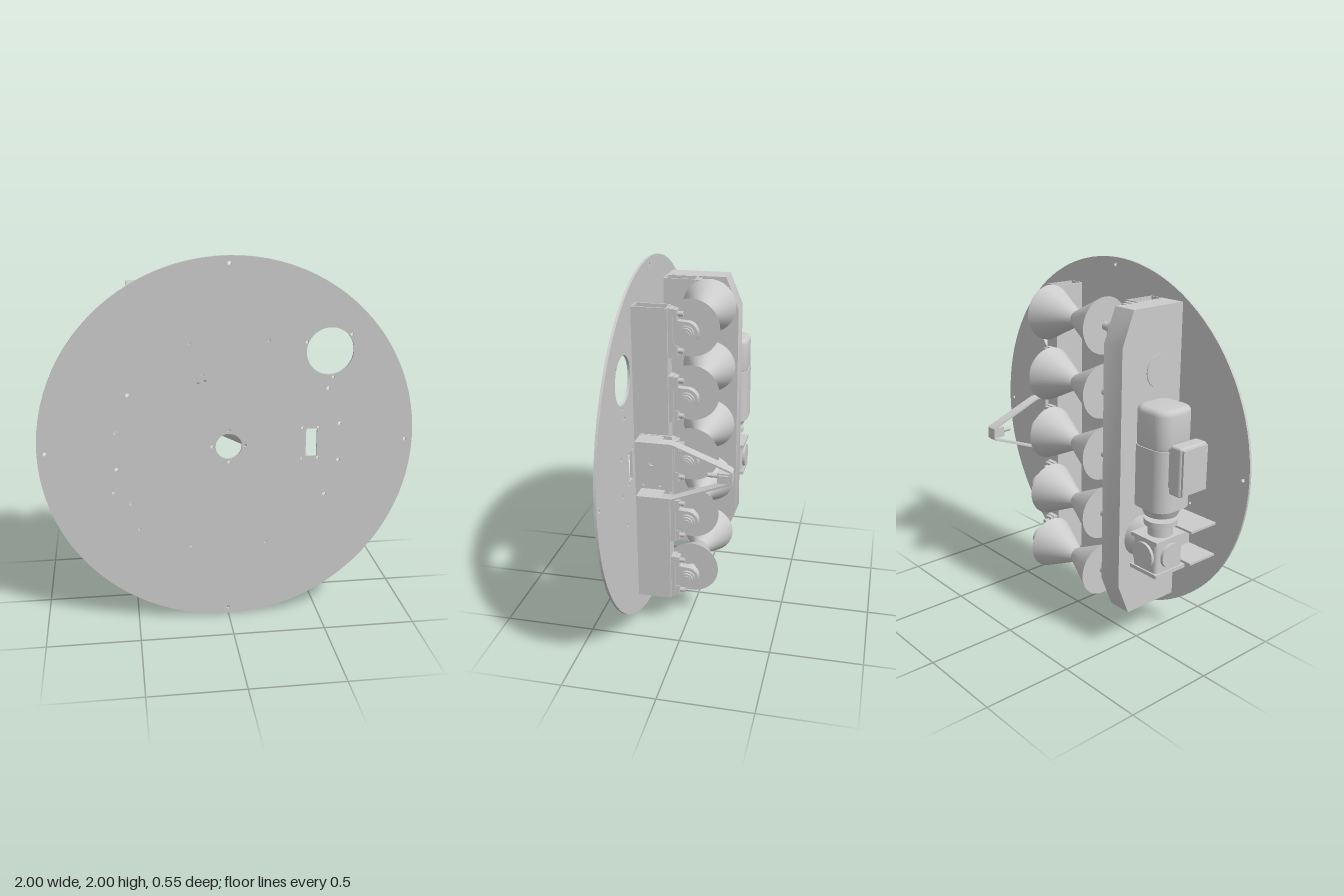
import * as THREE from 'three';
import { RoundedBoxGeometry } from 'three/addons/geometries/RoundedBoxGeometry.js';
import { toCreasedNormals } from 'three/addons/utils/BufferGeometryUtils.js';

const grey = new THREE.MeshStandardMaterial({ color: 0xcccccc, side: THREE.DoubleSide });

export function createModel() {
  const root = new THREE.Group();

  const add = (name, geo, x = 0, y = 0, z = 0, parent = root) => {
    const m = new THREE.Mesh(geo, grey);
    m.name = name;
    m.position.set(x, y, z);
    parent.add(m);
    return m;
  };
  // Box given by its limits on each axis
  const box = (name, x0, x1, y0, y1, z0, z1, parent) =>
    add(name, new THREE.BoxGeometry(x1 - x0, y1 - y0, z1 - z0),
      (x0 + x1) / 2, (y0 + y1) / 2, (z0 + z1) / 2, parent);
  // Cylinder along a chosen axis
  const cyl = (name, axis, r0, r1, len, x, y, z, parent, seg = 32) => {
    const g = new THREE.CylinderGeometry(r1, r0, len, seg);
    if (axis === 'x') g.rotateZ(-Math.PI / 2);
    if (axis === 'z') g.rotateX(Math.PI / 2);
    return add(name, g, x, y, z, parent);
  };
  const poly = pts => new THREE.Shape(pts.map(p => new THREE.Vector2(p[0], p[1])));
  const extrude = (shape, depth) => toCreasedNormals(
    new THREE.ExtrudeGeometry(shape, { depth, bevelEnabled: false, curveSegments: 16 }), 0.6);
  // Profile drawn in (z, y), extruded from x0 to x1
  const side = (name, shape, x0, x1, y = 0, z = 0, parent) =>
    add(name, extrude(shape, x1 - x0).rotateY(-Math.PI / 2), x1, y, z, parent);

  // Round mounting plate with its openings and bolt holes
  const disc = new THREE.Shape().absarc(0, 1, 1, 0, Math.PI * 2);
  const hole = (x, y, r) => disc.holes.push(new THREE.Path().absarc(x, y, r, 0, Math.PI * 2, true));
  hole(0, 1, 0.07);
  hole(0.53, 1.5, 0.125);
  disc.holes.push(new THREE.Path([[0.415, 0.925], [0.415, 1.08], [0.475, 1.08], [0.475, 0.925]]
    .map(p => new THREE.Vector2(...p))));
  for (const s of [-1, 1]) {
    hole(0, 1 + s * 0.962, 0.01);
    hole(s * 0.96, 1, 0.01);
    hole(s * 0.09, 1, 0.008);
    hole(0, 1 + s * 0.09, 0.008);
    for (const t of [-1, 1]) {
      hole(s * 0.205, 1 + t * 0.567, 0.01);
      hole(s * 0.525, 1 + t * 0.3, 0.01);
      hole(s * 0.595, 1 + t * 0.103, 0.01);
      hole(0.438 + s * 0.043, 1 + t * 0.086, 0.008);
    }
  }
  [[0.405, 1.55], [0.64, 1.585], [0.55, 1.36], [-0.175, 1.38], [-0.14, 1.396],
    [-0.16, 1.35], [-0.125, 1.362], [-0.615, 0.765], [-0.485, 0.55]].forEach(p => hole(p[0], p[1], 0.008));
  add('mountingPlate', new THREE.ExtrudeGeometry(disc,
    { depth: 0.013, bevelEnabled: false, curveSegments: 48 }), 0, 0, 0.264);

  // Two hollow upright beams carrying the bearings
  for (const [x0, x1] of [[-0.37, -0.282], [0.278, 0.366]]) {
    const tube = poly([[x0, -0.264], [x1, -0.264], [x1, -0.08], [x0, -0.08]]);
    const t = 0.008;
    tube.holes.push(new THREE.Path([[x0 + t, -0.264 + t], [x0 + t, -0.08 - t], [x1 - t, -0.08 - t], [x1 - t, -0.264 + t]]
      .map(p => new THREE.Vector2(...p))));
    add('uprightBeam', extrude(tube, 1.65).rotateX(-Math.PI / 2), 0, 0.18, 0);
  }

  // Angle-section cross members between the beams
  for (const s of [-1, 1]) {
    const y = 1 + s * 0.567;
    box('crossMember', -0.282, 0.278, y - 0.05, y + 0.05, 0.254, 0.264);
    box('crossMemberWeb', -0.282, 0.278, y + 0.04, y + 0.05, 0.165, 0.264);
  }

  // Bearing block: flanged foot, round-topped housing, insert ring and bolts
  const housing = new THREE.Shape();
  housing.moveTo(0.06, -0.065);
  housing.lineTo(0.06, 0.065);
  housing.lineTo(0, 0.06);
  housing.absarc(-0.01, 0, 0.06, Math.PI / 2, Math.PI * 1.5, false);
  housing.lineTo(0.06, -0.065);
  const bearing = (x, y) => {
    const g = new THREE.Group();
    g.name = 'bearingBlock';
    g.position.set(x, y, 0);
    root.add(g);
    side('bearingHousing', housing, -0.02, 0.02, 0, 0, g);
    box('bearingFoot', -0.03, 0.03, -0.125, 0.125, 0.055, 0.08, g);
    cyl('bearingRing', 'x', 0.042, 0.042, 0.066, 0, 0, -0.01, g);
    cyl('shaftCollar', 'x', 0.034, 0.034, 0.09, 0, 0, -0.01, g, 24);
    for (const s of [-1, 1]) {
      box('bearingLug', -0.025, 0.025, s * 0.09 - 0.03, s * 0.09 + 0.03, 0.035, 0.056, g);
      cyl('bearingBolt', 'z', 0.014, 0.014, 0.03, 0, s * 0.095, 0.022, g, 6);
    }
  };

  // Five hourglass rollers on their shafts
  for (let i = 0; i < 5; i++) {
    const y = 0.31 + i * 0.3475;
    cyl('rollerHalfRight', 'x', 0.15, 0.043, 0.228, -0.114, y, -0.01, root, 40);
    cyl('rollerHalfLeft', 'x', 0.043, 0.15, 0.228, 0.114, y, -0.01, root, 40);
    cyl('rollerShaft', 'x', 0.023, 0.023, 0.86, -0.06, y, -0.01, root, 24);
    bearing(-0.325, y);
    bearing(0.32, y);
  }

  // Drive guard with sloped back corners and a round cover
  side('driveGuard', poly([[0.264, 0.18], [0.264, 1.83], [-0.075, 1.83], [-0.148, 1.65],
    [-0.148, 0.36], [-0.075, 0.18]]), -0.507, -0.373);
  cyl('guardCover', 'x', 0.09, 0.09, 0.006, -0.51, 1.5, 0.11);

  // Gearbox, its output hub and the bracket plates
  const mx = -0.705, mz = -0.05, gy = 0.62;
  cyl('gearboxHub', 'x', 0.11, 0.11, 0.1, -0.555, gy, 0.0);
  add('gearbox', new RoundedBoxGeometry(0.17, 0.2, 0.19, 3, 0.02), -0.69, gy, mz);
  cyl('gearboxCap', 'x', 0.065, 0.065, 0.02, -0.782, gy, mz);
  cyl('gearboxBackCap', 'z', 0.07, 0.07, 0.02, -0.69, gy, mz - 0.1);
  for (const s of [-1, 1]) {
    box('gearboxRib', -0.785, -0.6, gy + s * 0.09 - 0.01, gy + s * 0.09 + 0.01, mz - 0.105, mz + 0.105);
    const y = gy + s * 0.09;
    box('motorBracket', -0.8, -0.507, y - 0.006, y + 0.006, 0.08, 0.264);
  }
  box('motorBracketWeb', -0.62, -0.607, gy - 0.09, gy + 0.09, 0.03, 0.264);

  // Upright motor with neck, flange, cooling cap and terminal box
  cyl('motorNeck', 'y', 0.065, 0.065, 0.1, mx, 0.75, mz);
  cyl('motorNeckRing', 'y', 0.085, 0.085, 0.03, mx, 0.79, mz);
  cyl('motorFlange', 'y', 0.085, 0.112, 0.06, mx, 0.86, mz);
  const body = new THREE.Shape();
  const h = 0.116, r = 0.075;
  for (let k = 0; k < 4; k++) {
    const sx = [1, -1, -1, 1][k], sy = [1, 1, -1, -1][k];
    body.absarc(sx * (h - r), sy * (h - r), r, k * Math.PI / 2, (k + 1) * Math.PI / 2, false);
  }
  body.closePath();
  add('motorBody', extrude(body, 0.32).rotateX(-Math.PI / 2), mx, 0.88, mz);
  add('motorCap', toCreasedNormals(new THREE.ExtrudeGeometry(body, {
    depth: 0.16, bevelThickness: 0.03, bevelSize: 0.03, bevelOffset: -0.034, bevelSegments: 4, curveSegments: 10,
  }).rotateX(-Math.PI / 2), 0.6), mx, 1.21, mz);
  box('terminalNeck', -0.845, -0.8, 1.02, 1.22, -0.12, 0.02);
  add('terminalBox', new RoundedBoxGeometry(0.075, 0.25, 0.18, 2, 0.012), -0.873, 1.12, mz);
  box('terminalLid', -0.922, -0.905, 1.005, 1.235, -0.132, 0.032);

  // Sensor arm: drilled side plate and two bent straps meeting at the tip
  const plate = poly([[0.06, 0.845], [0.06, 1.16], [0.23, 1.16], [0.23, 0.845]]);
  for (const [z, y, rr] of [[0.17, 1, 0.015], [0.215, 0.875, 0.008], [0.215, 1.13, 0.008],
    [0.125, 0.875, 0.008], [0.125, 1.13, 0.008]]) {
    plate.holes.push(new THREE.Path().absarc(z, y, rr, 0, Math.PI * 2, true));
  }
  side('armPlate', plate, 0.366, 0.376);
  for (const s of [-1, 1]) {
    const y = v => 1 + s * v;
    const t = 0.009;
    box('armFoot', 0.366, 0.475, Math.min(y(0.158), y(0.158 - t)), Math.max(y(0.158), y(0.158 - t)), 0.1, 0.23);
    const strap = poly([[0.23, y(0.158)], [0.04, y(0.158)], [-0.265, y(0.04)], [-0.275, y(0.03)],
      [-0.275, y(0)], [-0.266, y(0)], [-0.266, y(0.028)], [0.042, y(0.158 - t)], [0.23, y(0.158 - t)]]);
    side('armStrap', strap, 0.415, 0.475);
  }
  box('sensorBlock', 0.425, 0.485, 0.972, 1.028, -0.266, -0.2);
  box('sensorClip', 0.475, 0.497, 0.98, 1.02, -0.26, -0.21);
  cyl('sensorRod', 'z', 0.012, 0.012, 0.06, 0.45, 1, -0.175, root, 16);

  return root;
}
